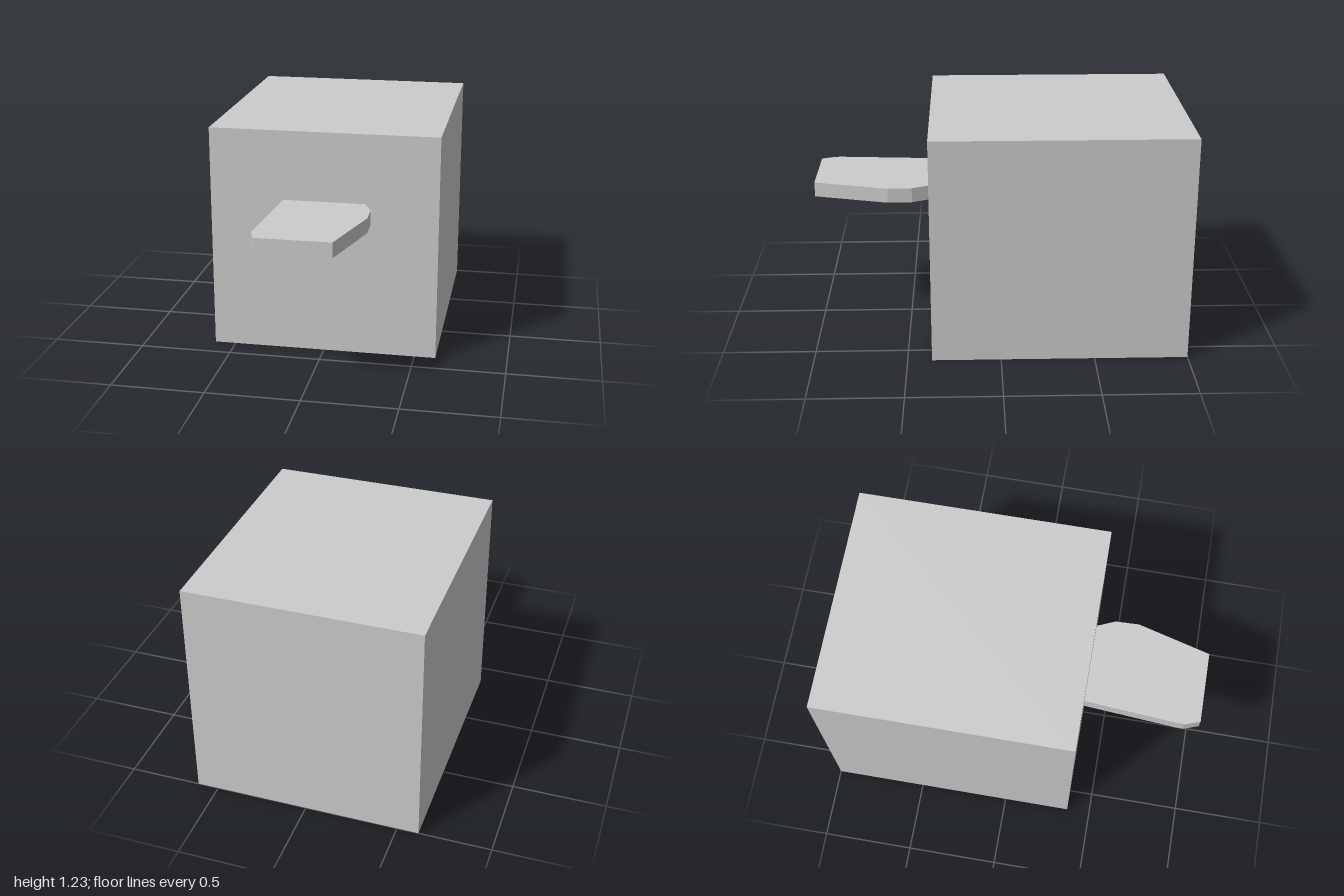
import * as THREE from 'three';

export function createModel() {
  const group = new THREE.Group();
  const material = new THREE.MeshStandardMaterial({ color: 0xcccccc, flatShading: true });

  // Block standing on the ground, set toward the back
  const block = new THREE.Mesh(new THREE.BoxGeometry(1.23, 1.23, 1.37), material);
  block.name = 'block';
  block.position.set(0, 0.615, -0.315);
  group.add(block);

  // Flat faceted tongue sticking out of the front; outline given as (x, z)
  const outline = [
    [-0.217, 0.365], [-0.255, 0.88], [-0.255, 0.92], [-0.227, 1],
    [0.165, 1], [0.272, 0.6], [0.268, 0.47], [0.222, 0.365],
  ].map(([x, z]) => new THREE.Vector2(x, z));
  const plate = new THREE.ExtrudeGeometry(new THREE.Shape(outline), { depth: 0.08, bevelEnabled: false });
  plate.rotateX(Math.PI / 2);
  const tongue = new THREE.Mesh(plate, material);
  tongue.name = 'tongue';
  tongue.position.y = 0.852;
  group.add(tongue);

  return group;
}
